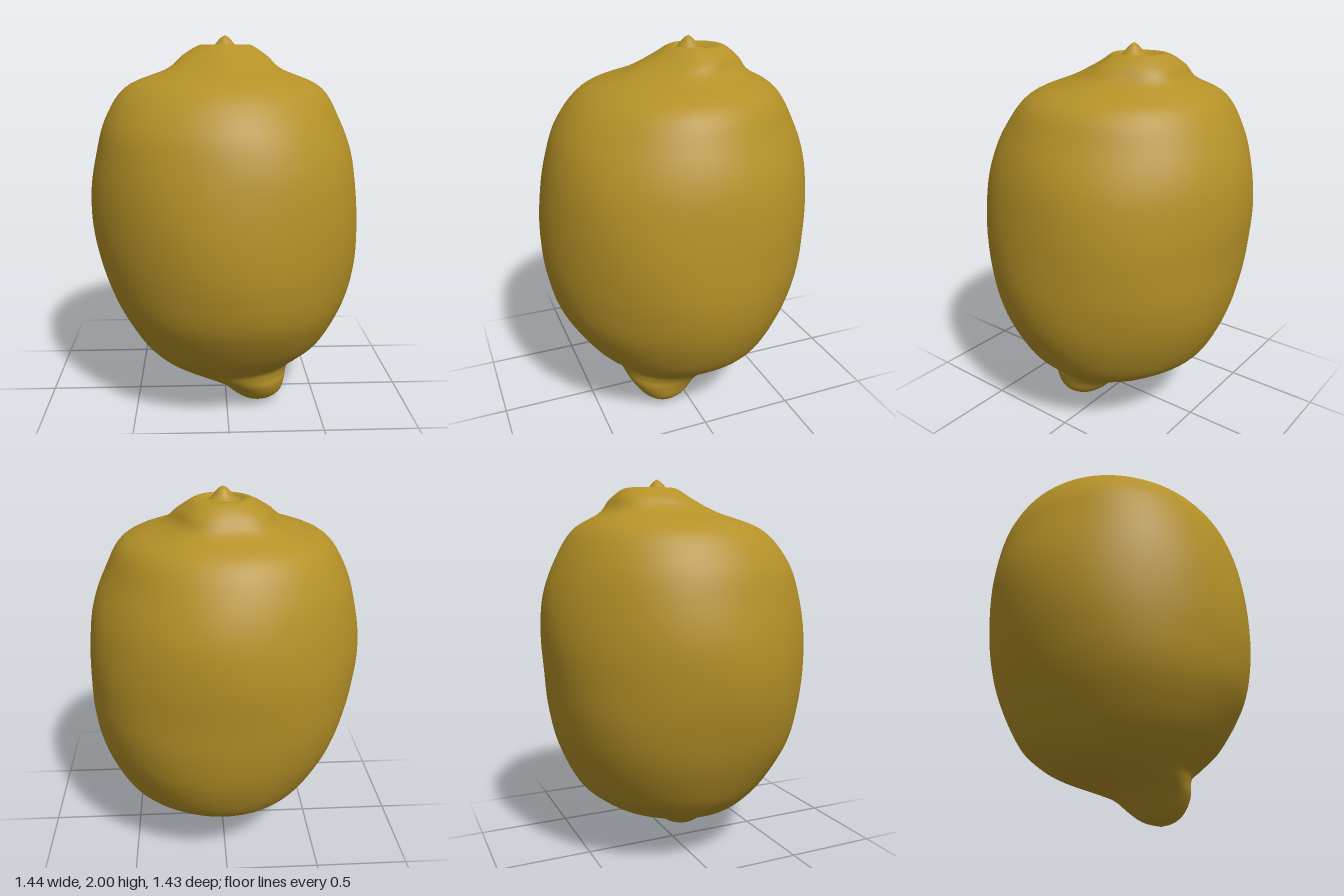
import * as THREE from 'three';

// Cross-sections from the bottom nipple to the stem nub: y, left/right x limits, back/front z limits
const SECTIONS = [
  [0.0, 0.18, 0.18, 0.14, 0.14],
  [0.025, 0.09, 0.26, 0.05, 0.21],
  [0.07, 0.025, 0.31, -0.015, 0.265],
  [0.14, -0.06, 0.33, -0.09, 0.315],
  [0.19, -0.19, 0.345, -0.2, 0.34],
  [0.24, -0.33, 0.385, -0.32, 0.37],
  [0.3, -0.42, 0.465, -0.42, 0.435],
  [0.4, -0.505, 0.565, -0.53, 0.53],
  [0.6, -0.61, 0.66, -0.63, 0.65],
  [0.8, -0.675, 0.705, -0.68, 0.7],
  [1.0, -0.71, 0.715, -0.7, 0.715],
  [1.2, -0.715, 0.705, -0.71, 0.705],
  [1.4, -0.685, 0.67, -0.69, 0.67],
  [1.58, -0.635, 0.595, -0.63, 0.6],
  [1.74, -0.525, 0.495, -0.535, 0.46],
  [1.83, -0.31, 0.29, -0.39, 0.24],
  [1.9, -0.225, 0.215, -0.335, 0.095],
  [1.952, -0.13, 0.135, -0.26, 0.01],
  [1.935, -0.085, 0.085, -0.175, -0.01],
  [1.945, -0.06, 0.06, -0.145, -0.03],
  [1.985, -0.025, 0.025, -0.11, -0.065],
  [2.0, 0, 0, -0.088, -0.088],
];

// Loft smoothly through the cross-sections, with a little uneven swelling
function lemonGeometry(rings = 110, sides = 72) {
  const curve = (a, b) => new THREE.CatmullRomCurve3(
    SECTIONS.map((s) => new THREE.Vector3(s[a], s[0], s[b])), false, 'catmullrom', 0.5);
  const xLimits = curve(1, 2);
  const zLimits = curve(3, 4);
  const positions = [];
  const indices = [];
  for (let i = 0; i <= rings; i++) {
    const px = xLimits.getPoint(i / rings);
    const pz = zLimits.getPoint(i / rings);
    const y = px.y;
    const crown = Math.exp(-(((y - 1.87) / 0.06) ** 2));
    for (let j = 0; j < sides; j++) {
      const a = (j / sides) * Math.PI * 2;
      // shallow lumps on the skin and folds around the crown
      const swell = 1 + 0.006 * Math.sin(3 * a + 4 * y) + 0.004 * Math.sin(5 * a - 7 * y)
        + 0.035 * crown * Math.sin(5 * a + 0.6);
      positions.push(
        (px.x + px.z) / 2 + ((px.z - px.x) / 2) * Math.cos(a) * swell,
        y,
        (pz.x + pz.z) / 2 + ((pz.z - pz.x) / 2) * Math.sin(a) * swell);
      if (i === rings) continue;
      const k = (j + 1) % sides;
      const p = i * sides + j, q = i * sides + k;
      const r = p + sides, s = q + sides;
      indices.push(p, r, q, q, r, s);
    }
  }
  const geometry = new THREE.BufferGeometry();
  geometry.setAttribute('position', new THREE.Float32BufferAttribute(positions, 3));
  geometry.setIndex(indices);
  geometry.computeVertexNormals();
  return geometry;
}

export function createModel() {
  const group = new THREE.Group();
  group.name = 'lemon';
  const peel = new THREE.MeshStandardMaterial({ color: 0xb59127 });
  peel.name = 'lemon yellow peel';
  const fruit = new THREE.Mesh(lemonGeometry(), peel);
  fruit.name = 'fruit';
  group.add(fruit);
  return group;
}
